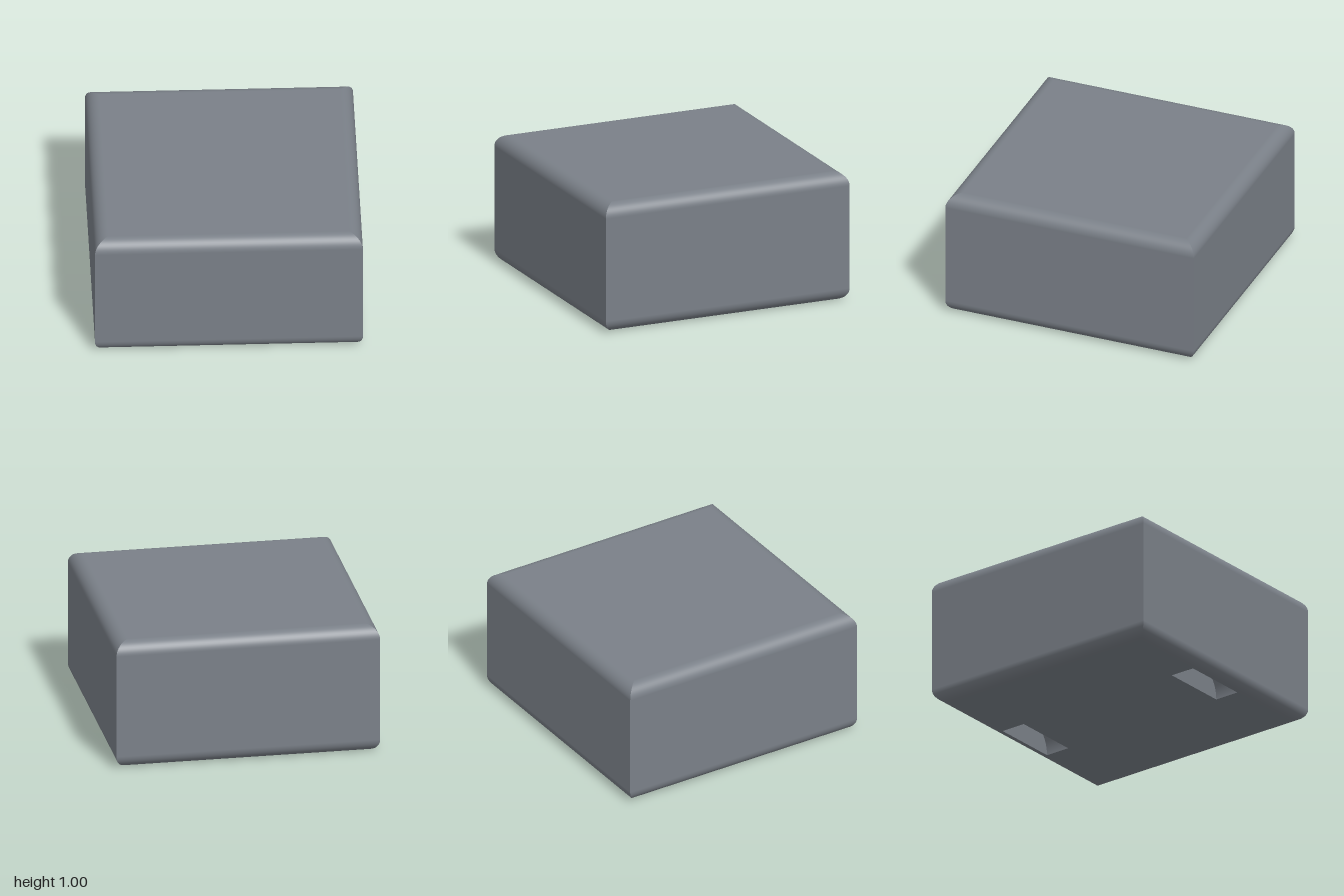
import * as THREE from 'three';

const R = 0.1;               // radius of the rounded top and bottom edges
const FLAT = 1 - R;          // half size of the flat top and underside
const WELL_R = 0.27, WELL_IN = 0.7, WELL_OUT = 0.9;

const paint = new THREE.MeshStandardMaterial({ color: 0x7a8088 });
const paintDouble = new THREE.MeshStandardMaterial({ color: 0x7a8088, side: THREE.DoubleSide });

function add(parent, name, geometry, material = paint) {
  const mesh = new THREE.Mesh(geometry, material);
  mesh.name = name;
  parent.add(mesh);
  return mesh;
}

// One side wall facing +z: rounded into top and underside, mitred at both ends
function wallGeometry(steps = 12) {
  const pos = [], nor = [], idx = [];
  const rings = [];
  for (let i = 0; i <= steps; i++) rings.push([R, -Math.PI / 2 * (1 - i / steps)]);
  for (let i = 0; i <= steps; i++) rings.push([1 - R, Math.PI / 2 * i / steps]);
  rings.forEach(([cy, t], i) => {
    const z = FLAT + R * Math.cos(t), y = cy + R * Math.sin(t);
    pos.push(-z, y, z, z, y, z);
    nor.push(0, Math.sin(t), Math.cos(t), 0, Math.sin(t), Math.cos(t));
    if (i > 0) {
      const a = 2 * (i - 1);
      idx.push(a, a + 1, a + 3, a, a + 3, a + 2);
    }
  });
  const g = new THREE.BufferGeometry();
  g.setAttribute('position', new THREE.Float32BufferAttribute(pos, 3));
  g.setAttribute('normal', new THREE.Float32BufferAttribute(nor, 3));
  g.setIndex(idx);
  return g;
}

// Downward-facing rectangle of the underside
function floorPanel(x0, x1, z0, z1) {
  return new THREE.PlaneGeometry(x1 - x0, z1 - z0)
    .rotateX(Math.PI / 2)
    .translate((x0 + x1) / 2, 0, (z0 + z1) / 2);
}

// Half-round recess open at the underside, its axis along z
function createWell(name, side) {
  const well = new THREE.Group();
  well.name = name;
  const depth = WELL_OUT - WELL_IN;
  const arch = new THREE.CylinderGeometry(WELL_R, WELL_R, depth, 32, 1, true, Math.PI / 2, Math.PI);
  add(well, 'wellArch', arch.rotateX(Math.PI / 2), paintDouble);
  const cheek = new THREE.CircleGeometry(WELL_R, 32, 0, Math.PI);
  for (const s of [-1, 1]) add(well, 'wellCheek', cheek, paintDouble).position.z = s * depth / 2;
  well.position.z = side * (WELL_IN + WELL_OUT) / 2;
  return well;
}

export function createModel() {
  const model = new THREE.Group();
  model.name = 'roundedBlock';

  // Four mitred side walls
  const wall = wallGeometry();
  ['frontWall', 'leftWall', 'backWall', 'rightWall'].forEach((name, i) => {
    add(model, name, wall).rotation.y = i * Math.PI / 2;
  });

  // Flat top
  add(model, 'top', new THREE.PlaneGeometry(2 * FLAT, 2 * FLAT).rotateX(-Math.PI / 2).translate(0, 1, 0));

  // Underside, leaving openings for the front and back wells
  add(model, 'undersideCentre', floorPanel(-FLAT, FLAT, -WELL_IN, WELL_IN));
  for (const s of [-1, 1]) {
    const z0 = s > 0 ? WELL_IN : -WELL_OUT;
    const z1 = z0 + WELL_OUT - WELL_IN;
    add(model, 'undersideLeft', floorPanel(WELL_R, FLAT, z0, z1));
    add(model, 'undersideRight', floorPanel(-FLAT, -WELL_R, z0, z1));
    model.add(createWell(s > 0 ? 'frontWell' : 'backWell', s));
  }
  return model;
}
